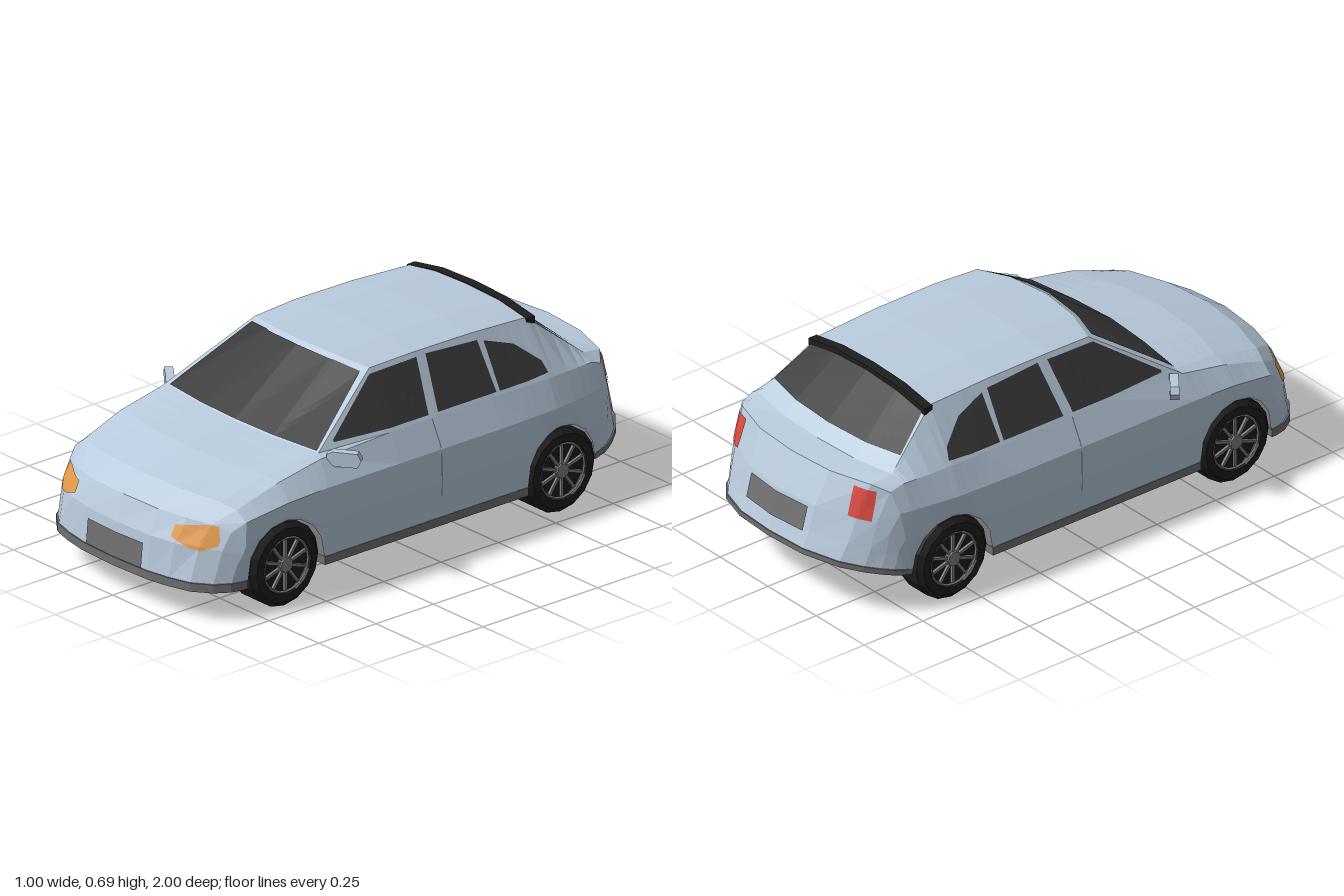
import * as THREE from 'three';

const mat = (color) => new THREE.MeshStandardMaterial({ color, flatShading: true, side: THREE.DoubleSide });
const paint = mat(0xb9cbdd), glass = mat(0x383838), trim = mat(0x707070), rubber = mat(0x1e1e1e);
const amber = mat(0xe39a4a), red = mat(0xd84a42), metal = mat(0x808080);

const WHEELS = [0.63, -0.575], ARCH = 0.158, AXLE_Y = 0.15;

// Half rows, listed from the lower side edge up to the centre line: [x, y, z]
const NOSE = [
  [[.435, .135, .81], [.425, .135, .85], [.392, .135, .9], [.33, .135, .948], [.25, .135, .972], [.16, .135, .988], [0, .135, .995]],
  [[.437, .135, .807], [.432, .2, .83], [.402, .25, .87], [.34, .255, .918], [.26, .258, .955], [.16, .26, .976], [0, .26, .985]],
  [[.438, .135, .803], [.438, .23, .812], [.408, .31, .835], [.35, .33, .872], [.27, .34, .912], [.16, .345, .94], [0, .35, .952]],
];
// Upper body stations: nominal z, then the points above the flank
const KEYS = [
  [.80, [.432, .34, .79], [.388, .373, .795], [.33, .388, .815], [.18, .398, .853], [0, .403, .868]],
  [.62, [.45, .37, .62], [.4, .428, .62], [.34, .437, .63], [.18, .445, .67], [0, .45, .68]],
  [.46, [.458, .38, .46], [.403, .462, .44], [.378, .472, .43], [.18, .474, .457], [0, .476, .468]],
  [.14, [.458, .38, .14], [.408, .475, .14], [.288, .665, .13], [.16, .681, .165], [0, .686, .18]],
  [-.05, [.458, .38, -.05], [.408, .476, -.05], [.295, .672, -.05], [.16, .691, -.05], [0, .694, -.05]],
  [-.3, [.458, .38, -.3], [.408, .476, -.3], [.295, .67, -.3], [.16, .689, -.3], [0, .692, -.3]],
  [-.55, [.45, .38, -.55], [.408, .476, -.55], [.292, .657, -.55], [.16, .678, -.555], [0, .683, -.56]],
  [-.74, [.425, .38, -.735], [.392, .472, -.745], [.345, .492, -.755], [.18, .49, -.782], [0, .49, -.79]],
];
const TAIL = [
  [[.425, .16, -.745], [.425, .28, -.76], [.415, .38, -.775], [.385, .455, -.795], [.335, .477, -.835], [.18, .48, -.885], [0, .482, -.9]],
  [[.424, .163, -.757], [.415, .24, -.783], [.4, .31, -.81], [.37, .35, -.84], [.315, .36, -.88], [.17, .36, -.938], [0, .36, -.955]],
  [[.422, .165, -.766], [.413, .2, -.79], [.395, .235, -.82], [.365, .255, -.86], [.305, .265, -.91], [.165, .27, -.962], [0, .27, -.977]],
  [[.42, .167, -.775], [.41, .172, -.8], [.39, .179, -.835], [.355, .188, -.88], [.29, .199, -.935], [.16, .209, -.983], [0, .211, -.995]],
];

// Lower edge of the flank, rising over the wheels
function lowerEdge(z) {
  for (const w of WHEELS) {
    const d = Math.abs(z - w);
    if (d < ARCH - 0.001) return AXLE_Y + Math.sqrt(ARCH * ARCH - d * d);
  }
  return z < -.7 ? .15 : .135;
}

function station(z) {
  let k = 0;
  while (k < KEYS.length - 2 && z < KEYS[k + 1][0]) k++;
  const a = KEYS[k], b = KEYS[k + 1], t = (a[0] - z) / (a[0] - b[0]), y = lowerEdge(z);
  const upper = a.slice(1).map((p, i) => p.map((v, j) => v + (b[i + 1][j] - v) * t));
  // the flank narrows towards both ends
  const x = .457 - .06 * Math.max(0, z - .47) - .095 * Math.max(0, -.42 - z);
  return [[x, y, z], [x + .003, Math.max(.26, y + .012), z], ...upper];
}

function meshGrid(rows) {
  const n = rows[0].length, index = [];
  for (let s = 0; s + 1 < rows.length; s++) {
    for (let i = 0; i + 1 < n; i++) {
      if ([rows[s][i], rows[s + 1][i], rows[s][i + 1], rows[s + 1][i + 1]].includes(null)) continue;
      const a = s * n + i, b = a + n;
      index.push(a, b, a + 1, b, b + 1, a + 1);
    }
  }
  const g = new THREE.BufferGeometry();
  g.setAttribute('position', new THREE.Float32BufferAttribute(rows.flat().flatMap((p) => p || [0, .3, 0]), 3));
  g.setIndex(index);
  g.computeVertexNormals();
  return g;
}

// Open shell from nose to tail
function bodyGeometry() {
  const zs = KEYS.map((k) => k[0]);
  for (const w of WHEELS) for (let i = 0; i <= 8; i++) zs.push(w + ARCH * Math.cos((i * Math.PI) / 8));
  const sorted = zs.sort((a, b) => b - a).filter((z, i, l) => i === 0 || l[i - 1] - z > .0005);
  const rows = [...NOSE, ...sorted.map(station), ...TAIL];
  return meshGrid(rows.map((r) => [...r, ...r.slice(0, -1).reverse().map(([x, y, z]) => [-x, y, z])]));
}

// Flat plate from a half outline [x, z], with an optional slope towards the rear
function plate(half, y0, y1, slope = 0, z0 = 0) {
  const pts = [...half, ...half.slice().reverse().map(([x, z]) => [-x, z])];
  const shape = new THREE.Shape(pts.map(([x, z]) => new THREE.Vector2(x, -z)));
  const g = new THREE.ExtrudeGeometry(shape, { depth: y1 - y0, bevelEnabled: false }).rotateX(-Math.PI / 2);
  const p = g.attributes.position;
  for (let i = 0; i < p.count; i++) p.setY(i, p.getY(i) + y0 + slope * (z0 - p.getZ(i)));
  g.computeVertexNormals();
  return g;
}

function wheel() {
  const g = new THREE.Group();
  const tyre = new THREE.LatheGeometry([[0, -.055], [.1, -.055], [.15, -.055], [.15, .035], [.132, .052],
    [.103, .054], [.098, .035], [0, .035]].map(([r, y]) => new THREE.Vector2(r, y)), 16);
  const add = (name, geo, m) => {
    const o = new THREE.Mesh(geo, m);
    o.name = name;
    g.add(o);
    return o;
  };
  add('tyre', tyre, rubber);
  add('rimRing', new THREE.TorusGeometry(.096, .005, 4, 20).rotateX(Math.PI / 2).translate(0, .046, 0), metal);
  add('hub', new THREE.CylinderGeometry(.026, .03, .016, 10).translate(0, .044, 0), metal);
  for (let i = 0; i < 10; i++) {
    add('spoke', new THREE.BoxGeometry(.075, .01, .01).translate(.06, .042, 0), metal).rotation.y = (i * Math.PI) / 5;
  }
  g.rotation.z = -Math.PI / 2;
  const holder = new THREE.Group();
  holder.add(g);
  return holder;
}

export function createModel() {
  const car = new THREE.Group();
  const add = (name, geo, m) => {
    const o = new THREE.Mesh(geo, m);
    o.name = name;
    car.add(o);
    return o;
  };
  const body = add('body', bodyGeometry(), paint);

  // Panels laid on the body: two rails in a flat view are projected onto it
  const ray = new THREE.Raycaster();
  const views = {
    front: (a, b) => [[a, b, 3], [0, 0, -1]],
    back: (a, b) => [[a, b, -3], [0, 0, 1]],
    left: (a, b) => [[3, b, a], [-1, 0, 0]],
    right: (a, b) => [[-3, b, a], [1, 0, 0]],
    top: (a, b) => [[a, 3, b], [0, -1, 0]],
  };
  function panel(name, view, railA, railB, m, lift = .004) {
    const along = (rail, t) => {
      const u = t * (rail.length - 1), i = Math.min(Math.floor(u), rail.length - 2), f = u - i;
      return rail[i].map((v, k) => v + (rail[i + 1][k] - v) * f);
    };
    const rows = [], n = 8, cols = (railA.length - 1) * 6;
    for (let r = 0; r <= n; r++) {
      const row = [];
      for (let c = 0; c <= cols; c++) {
        const p = along(railA, c / cols), q = along(railB, c / cols);
        const [from, dir] = views[view](p[0] + (q[0] - p[0]) * r / n, p[1] + (q[1] - p[1]) * r / n);
        ray.set(new THREE.Vector3(...from), new THREE.Vector3(...dir));
        const hit = ray.intersectObject(body)[0];
        row.push(hit ? hit.point.addScaledVector(hit.face.normal, lift).toArray() : null);
      }
      rows.push(row);
    }
    // keep the front of the panel facing outwards
    if (view === 'right' || view === 'back') rows.reverse();
    add(name, meshGrid(rows), m);
  }
  const flip = (rail, s) => rail.map(([a, b]) => [a * s, b]);

  // Glass
  panel('windscreen', 'top', [[-.272, .155], [-.15, .185], [0, .197], [.15, .185], [.272, .155]],
    [[-.37, .428], [-.18, .453], [0, .463], [.18, .453], [.37, .428]], glass);
  panel('rearWindow', 'top', [[-.285, -.568], [-.15, -.572], [0, -.575], [.15, -.572], [.285, -.568]],
    [[-.328, -.702], [-.18, -.732], [0, -.742], [.18, -.732], [.328, -.702]], glass);
  for (const side of ['left', 'right']) {
    panel('frontSideWindow', side, [[.36, .497], [.14, .648], [-.06, .656]], [[.36, .49], [.14, .487], [-.03, .487]], glass, .002);
    panel('rearSideWindow', side, [[-.1, .657], [-.32, .645]], [[-.07, .487], [-.325, .487]], glass, .002);
    panel('quarterWindow', side, [[-.345, .638], [-.46, .6], [-.545, .53]], [[-.34, .487], [-.46, .487], [-.555, .492]], glass, .002);
    panel('doorGap', side, [[-.036, .475], [-.036, .215]], [[-.04, .475], [-.04, .215]], trim, .002);
  }

  // Lamps and plates
  for (const s of [1, -1]) {
    panel('headlight', 'front', flip([[.24, .313], [.34, .328], [.372, .325], [.388, .28]], s),
      flip([[.24, .275], [.31, .25], [.35, .247], [.388, .264]], s), amber);
    panel('tailLight', 'back', flip([[.28, .46], [.352, .456]], s), flip([[.285, .36], [.357, .352]], s), red);
  }
  panel('frontPlate', 'front', [[-.138, .228], [.138, .228]], [[-.138, .14], [.138, .14]], trim, .008);
  panel('rearPlate', 'back', [[-.145, .35], [.145, .35]], [[-.145, .265], [.145, .265]], trim, .008);

  // Lower trim and floor
  const outline = (row) => row.map(([x, , z]) => [x + .004, z + .004 * Math.sign(z)]);
  add('frontBumper', plate([[.44, .79], ...outline(NOSE[0])], .107, .137), trim);
  add('floorAndSills', plate([[.459, .471], [.459, -.416]], .108, .138), trim);
  add('rearBumper', plate([[.428, -.735], ...outline(TAIL[3])], .142, .162, .2, -.74), trim);

  // Roof spoiler, following the curve of the roof
  const edge = [[-.302, .657], [-.16, .681], [0, .687], [.16, .681], [.302, .657]];
  const lip = new THREE.Shape([...edge, ...edge.map(([x, y]) => [x, y - .025]).reverse()].map((p) => new THREE.Vector2(...p)));
  add('roofSpoiler', new THREE.ExtrudeGeometry(lip, { depth: .035, bevelEnabled: false }).translate(0, 0, -.58), rubber);

  // Door mirrors
  const hex = [[-.06, -.012], [-.03, -.026], [.045, -.026], [.058, 0], [.045, .024], [-.04, .026], [-.06, .014]];
  for (const s of [1, -1]) {
    const shape = new THREE.Shape(hex.map(([x, y]) => new THREE.Vector2(x * s, y)));
    const m = add('doorMirror', new THREE.ExtrudeGeometry(shape, { depth: .03, bevelEnabled: false }).translate(0, 0, -.015), paint);
    m.position.set(.443 * s, .457, .37);
    m.rotation.y = .65 * s;
  }

  // Wheels
  for (const z of WHEELS) {
    for (const s of [1, -1]) {
      const w = wheel();
      w.name = (z > 0 ? 'front' : 'rear') + (s > 0 ? 'LeftWheel' : 'RightWheel');
      w.position.set(.4 * s, AXLE_Y, z);
      if (s < 0) w.rotation.y = Math.PI;
      car.add(w);
    }
  }
  return car;
}
